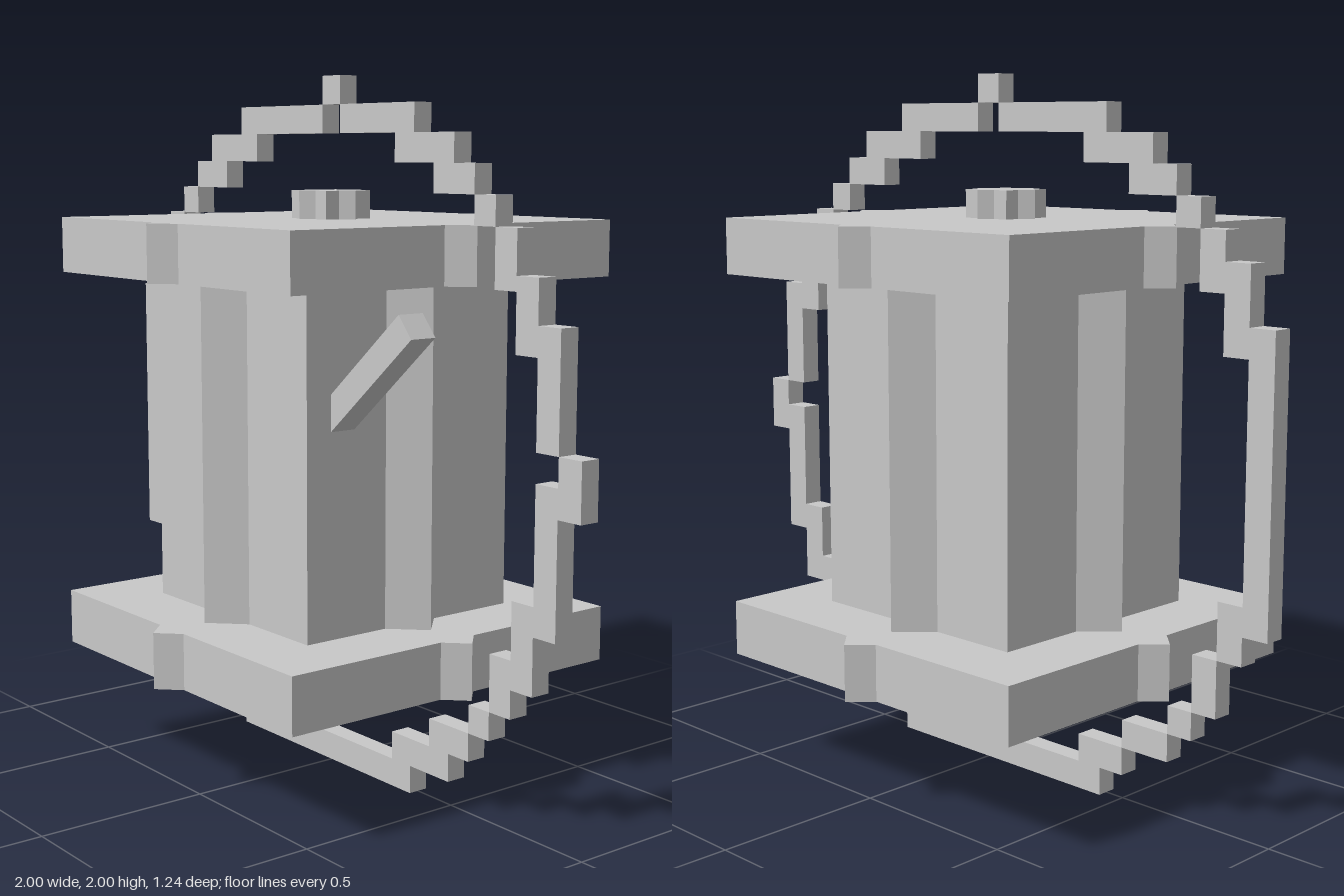
import * as THREE from 'three';

const AXIS_X = -0.04; // the spool sits slightly left of the centre

export function createModel() {
  const model = new THREE.Group();
  model.name = 'spoolWithHoop';
  const grey = new THREE.MeshStandardMaterial({ color: 0xc8c8c8 });
  grey.name = 'plain grey';

  const add = (name, geometry, parent = model) => {
    const mesh = new THREE.Mesh(geometry, grey);
    mesh.name = name;
    parent.add(mesh);
    return mesh;
  };

  // Upright prism: a square (half width h) with a pointed ridge (reach d) on each side
  const ridgedPrism = (name, h, d, y0, y1) => {
    const b = d - h;
    const points = [];
    for (let k = 0; k < 4; k++) {
      for (const [x, y] of [[h, -b], [d, 0], [h, b], [h, h]]) {
        points.push(new THREE.Vector2(x, y).rotateAround(new THREE.Vector2(), k * Math.PI / 2));
      }
    }
    const geometry = new THREE.ExtrudeGeometry(new THREE.Shape(points), { depth: y1 - y0, bevelEnabled: false });
    geometry.rotateX(-Math.PI / 2);
    add(name, geometry).position.set(AXIS_X, y0, 0);
  };

  // Spool
  ridgedPrism('lowerKnob', 0.08, 0.113, 0.24, 0.32);
  ridgedPrism('lowerPlate', 0.56, 0.62, 0.32, 0.48);
  ridgedPrism('core', 0.36, 0.45, 0.48, 1.44);
  ridgedPrism('upperPlate', 0.56, 0.62, 1.44, 1.6);
  ridgedPrism('upperKnob', 0.08, 0.113, 1.6, 1.68);

  // Slanted lever coming out of the core
  const angle = THREE.MathUtils.degToRad(40);
  const length = 0.5;
  const lever = add('lever', new THREE.BoxGeometry(length, 0.077, 0.08));
  lever.rotation.z = angle;
  lever.position.set(0.622 - Math.cos(angle) * length / 2, 1.355 - Math.sin(angle) * length / 2, 0.24);

  // Stepped hoop: x0, x1, y0, y1 of each block
  const hoop = new THREE.Group();
  hoop.name = 'hoop';
  model.add(hoop);
  const blocks = [
    // top, with a raised tab
    [-0.04, 0.04, 1.92, 2], [-0.44, -0.04, 1.84, 1.92], [0.04, 0.36, 1.84, 1.92],
    // upper left
    [-0.6, -0.36, 1.76, 1.84], [-0.68, -0.52, 1.68, 1.76], [-0.76, -0.68, 1.6, 1.68],
    [-0.84, -0.76, 1.44, 1.6], [-0.92, -0.84, 1.28, 1.52],
    // left side and lower left
    [-1, -0.92, 0.56, 1.36], [-0.92, -0.84, 0.48, 0.64], [-0.84, -0.76, 0.32, 0.48],
    [-0.76, -0.68, 0.24, 0.32], [-0.68, -0.52, 0.16, 0.24], [-0.52, -0.36, 0.08, 0.16],
    // bottom
    [-0.44, 0.36, 0, 0.08],
    // upper right
    [0.28, 0.52, 1.76, 1.84], [0.44, 0.6, 1.68, 1.76], [0.6, 0.68, 1.6, 1.68],
    [0.68, 0.76, 1.44, 1.6], [0.76, 0.84, 1.28, 1.48],
    // right side, with a raised tab
    [0.84, 0.92, 1.04, 1.36], [0.92, 1, 0.88, 1.04], [0.84, 0.92, 0.56, 0.96],
    // lower right
    [0.76, 0.84, 0.4, 0.64], [0.68, 0.76, 0.32, 0.48], [0.6, 0.68, 0.24, 0.32],
    [0.44, 0.6, 0.16, 0.24], [0.28, 0.52, 0.08, 0.16],
  ];
  for (const [x0, x1, y0, y1] of blocks) {
    add('hoopBlock', new THREE.BoxGeometry(x1 - x0, y1 - y0, 0.06), hoop)
      .position.set((x0 + x1) / 2, (y0 + y1) / 2, 0);
  }

  return model;
}
